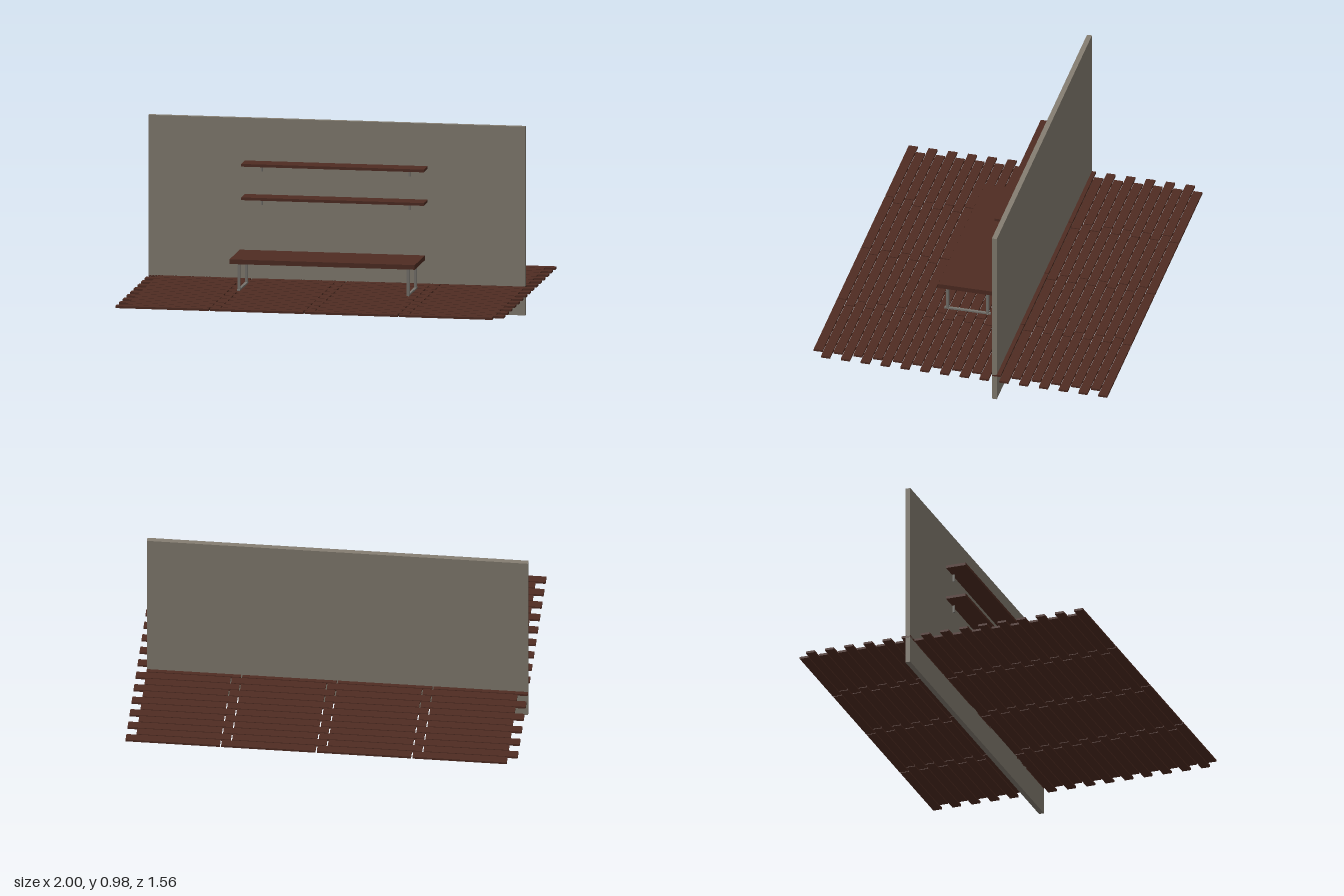
import * as THREE from 'three';

export function createModel() {
  const root = new THREE.Group();
  const wood = new THREE.MeshStandardMaterial({ color: 0x4f2c22 });
  wood.name = 'darkWood';
  const plaster = new THREE.MeshStandardMaterial({ color: 0x857e72 });
  plaster.name = 'greyPlaster';
  const metal = new THREE.MeshStandardMaterial({ color: 0x77746e });
  metal.name = 'greyMetal';

  // Box given by its lower and upper limits on each axis
  function box(parent, name, material, [x0, x1], [y0, y1], [z0, z1]) {
    const mesh = new THREE.Mesh(new THREE.BoxGeometry(x1 - x0, y1 - y0, z1 - z0), material);
    mesh.position.set((x0 + x1) / 2, (y0 + y1) / 2, (z0 + z1) / 2);
    mesh.name = name;
    parent.add(mesh);
  }
  function group(name) {
    const g = new THREE.Group();
    g.name = name;
    root.add(g);
    return g;
  }

  // Floor: staggered rows of four planks with narrow gaps
  const floor = group('floor');
  const rows = 30, pitchZ = 0.052, plankWidth = 0.047;
  const pitchX = 0.489, plankLength = 0.482;
  for (let r = 0; r < rows; r++) {
    const z = -0.778 + r * pitchZ;
    const start = r % 2 === 0 ? -0.949 : -1;
    for (let i = 0; i < 4; i++) {
      const x = start + i * pitchX;
      box(floor, 'plank', wood, [x, x + plankLength], [0.138, 0.149], [z, z + plankWidth]);
    }
  }

  // Wall passing through the floor
  box(root, 'wall', plaster, [-1, 0.949], [0, 0.975], [-0.185, -0.159]);

  // Table with two metal leg frames
  const table = group('table');
  box(table, 'tableTop', wood, [-0.505, 0.453], [0.291, 0.315], [-0.041, 0.251]);
  for (const x of [-0.463, 0.412]) {
    const across = [x - 0.007, x + 0.007];
    for (const z of [0.001, 0.211]) {
      box(table, 'tableLeg', metal, across, [0.157, 0.291], [z - 0.007, z + 0.007]);
    }
    box(table, 'footBar', metal, across, [0.149, 0.157], [-0.015, 0.227]);
  }

  // Two shelves on small brackets
  for (const y of [0.57, 0.743]) {
    const shelf = group('shelf');
    box(shelf, 'shelfBoard', wood, [-0.499, 0.446], [y, y + 0.014], [-0.151, -0.045]);
    for (const x of [-0.409, 0.355]) {
      box(shelf, 'shelfBracket', metal, [x - 0.004, x + 0.004], [y - 0.039, y], [-0.148, -0.137]);
    }
  }
  return root;
}
